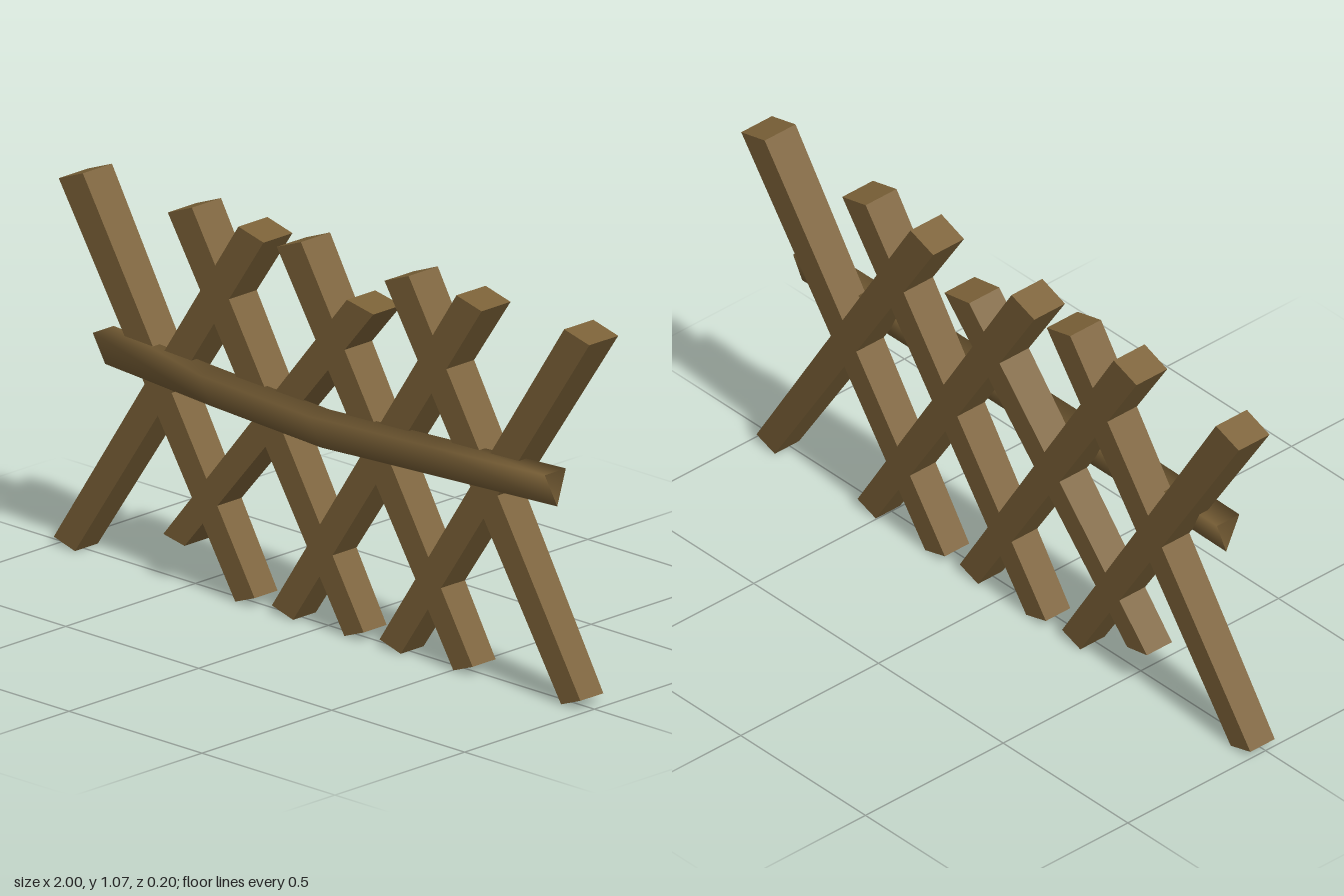
import * as THREE from 'three';

export function createModel() {
  const group = new THREE.Group();
  const wood = new THREE.MeshStandardMaterial({ color: 0x7c6238 });
  wood.name = 'brown wood';
  const railWood = new THREE.MeshStandardMaterial({ color: 0x7c6238, side: THREE.DoubleSide });
  railWood.name = 'brown rail wood';
  const lerp = THREE.MathUtils.lerp;

  // Tapered slat: bottom-left, bottom-right, top-left, top-right corners as [x, y].
  // All slats lean back slightly and get deeper towards the top.
  function addSlat(name, bl, br, tl, tr) {
    const geo = new THREE.BoxGeometry(1, 1, 1);
    const p = geo.attributes.position;
    for (let i = 0; i < p.count; i++) {
      const right = p.getX(i) > 0, top = p.getY(i) > 0, front = p.getZ(i) > 0;
      const [x, y] = top ? (right ? tr : tl) : (right ? br : bl);
      const h = y / 1.06;
      p.setXYZ(i, x, y, front ? lerp(0.034, 0.014, h) : lerp(-0.054, -0.098, h));
    }
    geo.computeVertexNormals();
    const mesh = new THREE.Mesh(geo, wood);
    mesh.name = name;
    group.add(mesh);
  }

  // Slats falling from left to right
  [-1, -0.59, -0.18, 0.225].forEach((x, i) => addSlat('fallingSlat' + (i + 1),
    [x + 0.683, 0.003], [x + 0.755, 0.03], [x, 1.04], [x + 0.09, 1.075]));

  // Slats rising from left to right
  [-1, -0.18, 0.225].forEach((x, i) => addSlat('risingSlat' + (i + 1),
    [x, 0.025], [x + 0.08, 0.003], [x + 0.675, 1.063], [x + 0.77, 1.04]));

  // Shorter slat with both ends cut back
  addSlat('shortSlat', [-0.59, 0.13], [-0.51, 0.115], [0.085, 0.953], [0.185, 0.935]);

  // Bent rail: open three-sided tube with smooth shading
  const section = [[0.656, 0.068], [0.656, -0.013], [0.556, 0.02]]; // [y, z]
  const rings = [[-0.82, 0, 0], [-0.4, -0.016, 0.019], [0.02, -0.03, 0.03], [0.45, -0.014, 0.017], [0.88, 0, 0]];
  const positions = [], index = [];
  rings.forEach(([x, dy, dz], r) => section.forEach(([y, z], s) => {
    positions.push(x, y + dy, z + dz);
    if (r === 0) return;
    const a = (r - 1) * 3 + s, b = (r - 1) * 3 + (s + 1) % 3;
    index.push(a, a + 3, b, b, a + 3, b + 3);
  }));
  const railGeo = new THREE.BufferGeometry();
  railGeo.setAttribute('position', new THREE.Float32BufferAttribute(positions, 3));
  railGeo.setIndex(index);
  railGeo.computeVertexNormals();
  const rail = new THREE.Mesh(railGeo, railWood);
  rail.name = 'rail';
  group.add(rail);

  return group;
}
